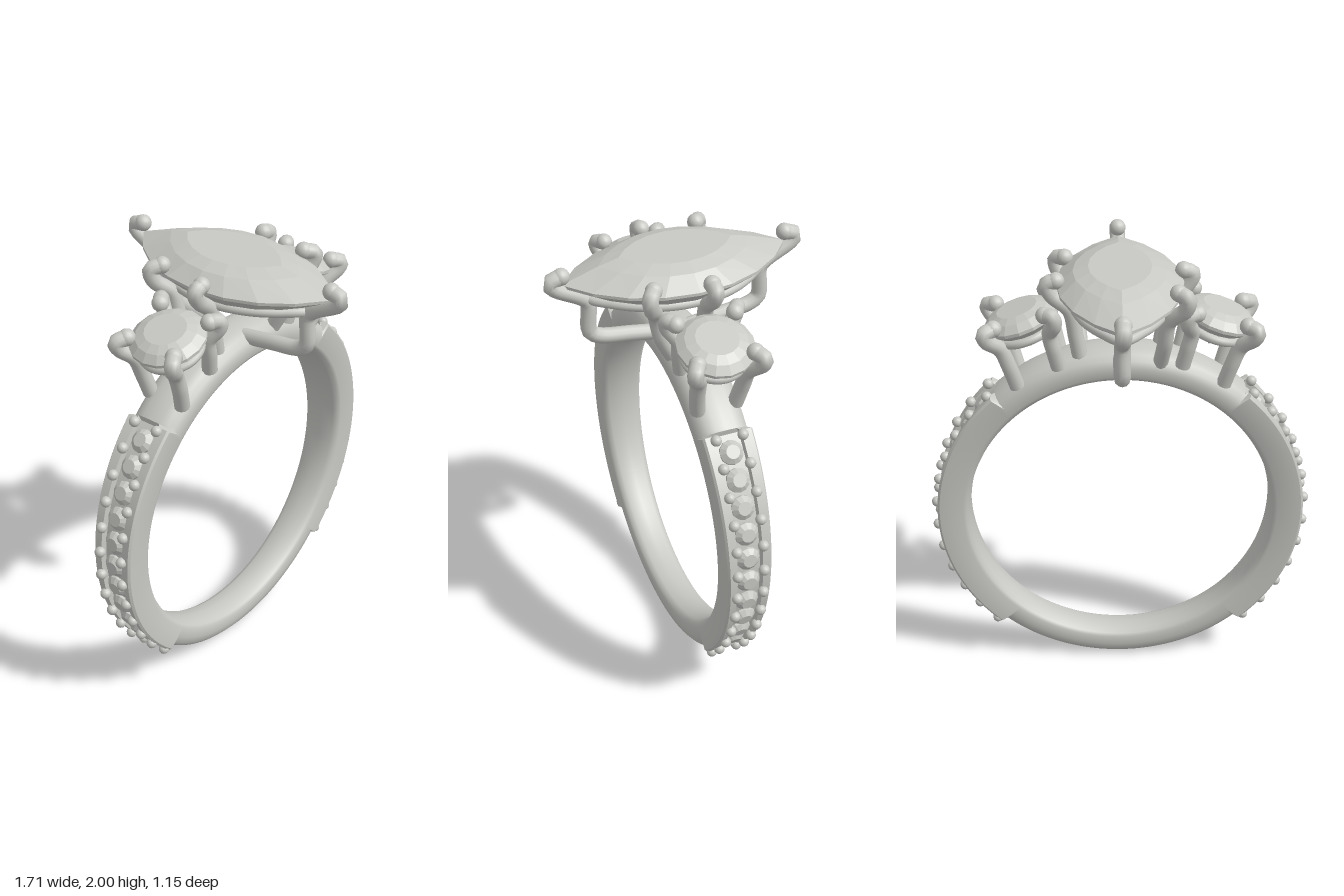
import * as THREE from 'three';
import { toCreasedNormals } from 'three/addons/utils/BufferGeometryUtils.js';

const CY = 0.82; // centre height of the band
const rad = THREE.MathUtils.degToRad;

export function createModel() {
  const model = new THREE.Group();
  const grey = new THREE.MeshStandardMaterial({ color: 0xc8c8c4 });
  grey.name = 'silverGrey';

  const add = (parent, geometry, name) => {
    const mesh = new THREE.Mesh(geometry, grey);
    mesh.name = name;
    parent.add(mesh);
    return mesh;
  };

  // Faceted stone: outline points [x, z], rings [scaleX, scaleZ, y] from top to bottom
  const gemGeometry = (outline, rings) => {
    const pos = [];
    const n = outline.length;
    const at = (k, j) => {
      const [x, z] = outline[j % n];
      return [x * rings[k][0], rings[k][2], z * rings[k][1]];
    };
    for (let k = 0; k < rings.length - 1; k++) {
      for (let j = 0; j < n; j++) {
        const u0 = at(k, j), u1 = at(k, j + 1), l0 = at(k + 1, j), l1 = at(k + 1, j + 1);
        if (rings[k][0] > 0) pos.push(...l0, ...u0, ...u1);
        if (rings[k + 1][0] > 0) pos.push(...l0, ...u1, ...l1);
      }
    }
    const g = new THREE.BufferGeometry();
    g.setAttribute('position', new THREE.Float32BufferAttribute(pos, 3));
    g.computeVertexNormals();
    return g;
  };
  const circle = (n, r) => Array.from({ length: n }, (_, i) => {
    const a = (i / n) * Math.PI * 2;
    return [r * Math.cos(a), r * Math.sin(a)];
  });
  // Pointed oval made of two arcs
  const marquise = (a, b, n) => {
    const R = (a * a + b * b) / (2 * a);
    const m = Math.asin(b / R);
    const pts = [];
    for (const s of [1, -1]) {
      for (let i = 0; i < n; i++) {
        const p = s * m * (2 * i / n - 1);
        pts.push([s * (R * Math.cos(p) - R + a), R * Math.sin(p)]);
      }
    }
    return pts;
  };

  // Round wire with a domed tip
  const wire = (parent, points, radius, name) => {
    const v = points.map((p) => new THREE.Vector3(...p));
    const g = new THREE.Group();
    g.name = name;
    parent.add(g);
    const curve = new THREE.CatmullRomCurve3(v, false, 'centripetal');
    add(g, new THREE.TubeGeometry(curve, 32, radius, 12), name + 'Wire');
    add(g, new THREE.SphereGeometry(radius * 1.08, 14, 10), name + 'Tip').position.copy(v[v.length - 1]);
  };

  // Band: half profile [z, radius] swept round, with a channel on each flank
  const shankGeometry = () => {
    const section = (a) => {
      const y = CY * (1 + Math.sin(a));
      const w = 0.08 + 0.022 * y;
      const elevation = Math.abs(THREE.MathUtils.radToDeg(Math.asin(Math.sin(a))));
      const t = THREE.MathUtils.clamp(48 - elevation, 0, 1);
      const round = [[0, 0.82], [0.4 * w, 0.817], [0.7 * w, 0.806], [0.92 * w, 0.785], [w, 0.755]];
      const channel = [[0, 0.797], [0.056, 0.797], [0.058, 0.826], [w - 0.008, 0.828], [w, 0.818]];
      const half = round.map((p, i) => [0, 1].map((c) => p[c] + (channel[i][c] - p[c]) * t));
      half.push([w, 0.712], [w - 0.008, 0.697], [w - 0.028, 0.685], [0, 0.68]);
      return [...half, ...half.slice(1, -1).reverse().map(([z, r]) => [-z, r])];
    };
    const N = 360, pos = [], index = [];
    let M = 0;
    for (let i = 0; i < N; i++) {
      const a = rad(i);
      const s = section(a);
      M = s.length;
      for (const [z, r] of s) pos.push(r * Math.cos(a), CY + r * Math.sin(a), z);
      for (let j = 0; j < M; j++) {
        const k = ((i + 1) % N) * M, q = (j + 1) % M;
        index.push(i * M + j, k + j, k + q, i * M + j, k + q, i * M + q);
      }
    }
    const g = new THREE.BufferGeometry();
    g.setAttribute('position', new THREE.Float32BufferAttribute(pos, 3));
    g.setIndex(index);
    return toCreasedNormals(g, rad(35));
  };
  add(model, shankGeometry(), 'band');

  // Small stones and bead prongs along both flanks
  const smallStone = gemGeometry(circle(12, 0.052),
    [[0, 0, 0.026], [0.58, 0.58, 0.026], [1, 1, 0.006], [1, 1, -0.004], [0, 0, -0.03]]);
  const bead = new THREE.SphereGeometry(0.024, 12, 8);
  const STEP = 8.3;
  for (const side of [1, -1]) {
    const flank = new THREE.Group();
    flank.name = side > 0 ? 'leftFlankStones' : 'rightFlankStones';
    model.add(flank);
    for (let i = 0; i < 11; i++) {
      const a = rad((i - 5) * STEP);
      const stone = add(flank, smallStone, 'smallStone');
      stone.position.set(side * 0.802 * Math.cos(a), CY + 0.802 * Math.sin(a), 0);
      stone.rotation.z = side * (a - Math.PI / 2);
    }
    for (let i = 0; i < 12; i++) {
      const a = rad((i - 5.5) * STEP);
      for (const z of [0.06, -0.06]) {
        add(flank, bead, 'beadProng').position.set(side * 0.832 * Math.cos(a), CY + 0.832 * Math.sin(a), z);
      }
    }
  }

  // Centre stone
  const centre = new THREE.Group();
  centre.name = 'centreSetting';
  model.add(centre);
  add(centre, gemGeometry(marquise(0.27, 0.5, 8), [
    [0, 0, 2], [0.5, 0.5, 2], [0.74, 0.68, 1.978], [1, 1, 1.925], [1, 1, 1.912],
    [0.62, 0.62, 1.815], [0, 0, 1.7],
  ]), 'centreStone');

  // Rail under the centre stone
  const railPoints = marquise(0.2, 0.39, 8).map(([x, z]) => new THREE.Vector3(x, 1.84, z));
  const railCurve = new THREE.CatmullRomCurve3(railPoints, true, 'centripetal');
  add(centre, new THREE.TubeGeometry(railCurve, 80, 0.02, 10, true), 'centreRail');

  // Centre prongs, each repeated half a turn round
  for (const s of [1, -1]) {
    wire(centre, [
      [0, 1.6, s * 0.04], [0, 1.625, s * 0.2], [0, 1.65, s * 0.35], [0, 1.68, s * 0.388],
      [0, 1.82, s * 0.39], [0, 1.85, s * 0.42], [0, 1.92, s * 0.54], [0, 1.945, s * 0.55], [0, 1.965, s * 0.5],
    ], 0.034, 'endProng');
    wire(centre, [
      [s * 0.17, 1.58, s * 0.08], [s * 0.185, 1.7, s * 0.14], [s * 0.2, 1.82, s * 0.17],
      [s * 0.265, 1.89, s * 0.21], [s * 0.275, 1.94, s * 0.22], [s * 0.235, 1.957, s * 0.19],
    ], 0.034, 'cornerProng');
    wire(centre, [
      [s * 0.17, 1.58, s * -0.05], [s * 0.19, 1.7, s * -0.05], [s * 0.215, 1.82, s * -0.05],
      [s * 0.29, 1.89, s * -0.05], [s * 0.31, 1.94, s * -0.05], [s * 0.27, 1.955, s * -0.05],
    ], 0.034, 'flankProng');
  }

  // Tilted round side stones with four prongs each
  const roundStone = gemGeometry(circle(16, 0.165), [
    [0, 0, 0.05], [0.55, 0.55, 0.05], [0.8, 0.8, 0.034], [1, 1, 0.006], [1, 1, -0.008], [0, 0, -0.14],
  ]);
  for (const s of [1, -1]) {
    const setting = new THREE.Group();
    setting.name = s > 0 ? 'leftSideSetting' : 'rightSideSetting';
    model.add(setting);
    const head = new THREE.Group();
    head.name = 'sideHead';
    head.position.set(s * 0.425, 1.765, 0);
    head.rotation.z = -s * rad(18);
    setting.add(head);
    add(head, roundStone, 'sideStone');
    const rail = add(head, new THREE.TorusGeometry(0.125, 0.02, 10, 40), 'sideRail');
    rail.rotation.x = Math.PI / 2;
    rail.position.y = -0.06;
    for (const z of [1, -1]) {
      wire(setting, [
        [s * 0.445, 1.48, z * 0.085], [s * 0.475, 1.58, z * 0.1], [s * 0.51, 1.67, z * 0.11],
        [s * 0.565, 1.725, z * 0.145], [s * 0.575, 1.755, z * 0.15], [s * 0.535, 1.772, z * 0.125],
      ], 0.034, 'outerProng');
      wire(setting, [
        [s * 0.265, 1.57, z * 0.085], [s * 0.285, 1.66, z * 0.1], [s * 0.3, 1.74, z * 0.11],
        [s * 0.28, 1.8, z * 0.15], [s * 0.285, 1.835, z * 0.155], [s * 0.32, 1.835, z * 0.13],
      ], 0.034, 'innerProng');
    }
  }
  return model;
}
